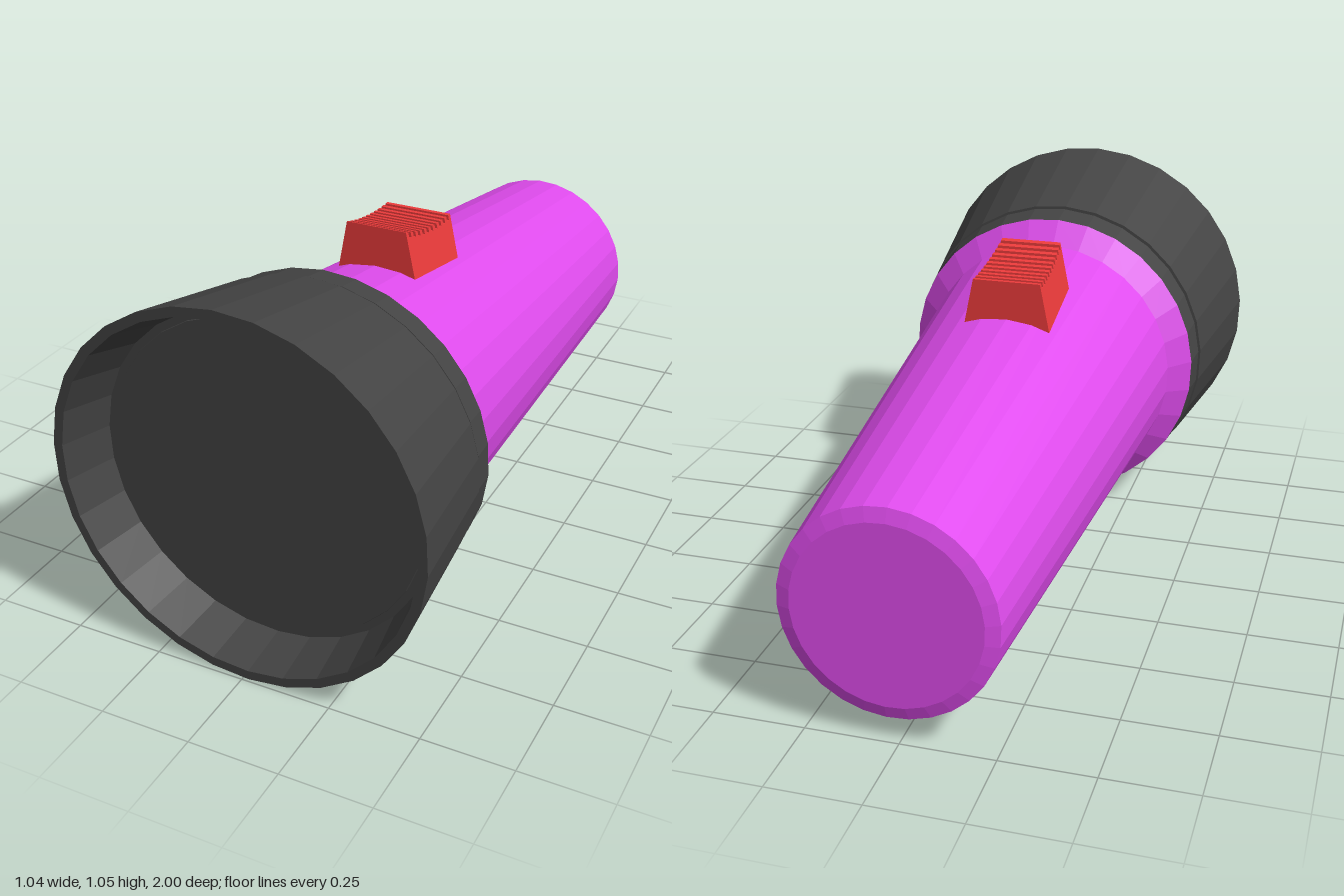
import * as THREE from 'three';

const SIDES = 30;

// The barrel axis drops toward the back while its rings stay upright
const barrelShear = new THREE.Matrix4().set(
  1, 0, -0.015, 0.012,
  0, 1, 0.088, 0.439,
  0.015, 0, 1, 0,
  0, 0, 0, 1
);

function material(color, side = THREE.FrontSide) {
  return new THREE.MeshStandardMaterial({ color, flatShading: true, side });
}

// Turned part: profile of [radius, z], listed from back to front
function turned(name, profile, mat) {
  const geo = new THREE.LatheGeometry(profile.map(([r, z]) => new THREE.Vector2(r, z)), SIDES);
  geo.rotateX(Math.PI / 2);
  geo.rotateZ(THREE.MathUtils.degToRad(2.1));
  geo.applyMatrix4(barrelShear);
  const mesh = new THREE.Mesh(geo, mat);
  mesh.name = name;
  return mesh;
}

// Sliding switch: ridged side outline extruded across, narrowing upward
function switchButton(mat) {
  const front = 0.215, back = -0.05, ridges = 11;
  const pitch = (front - back) / (ridges - 0.5);
  const topAt = z => 0.898 + 0.047 * ((z - back) / (front - back)) ** 2;

  const shape = new THREE.Shape();
  shape.moveTo(back, 0.72);
  shape.lineTo(front, 0.76);
  for (let i = 0; i < ridges; i++) {
    const z0 = front - i * pitch;
    const z1 = z0 - pitch / 2;
    shape.lineTo(z0, topAt(z0));
    shape.lineTo(z1, topAt(z1));
    if (i < ridges - 1) {
      shape.lineTo(z1, topAt(z1) - 0.014);
      shape.lineTo(z0 - pitch, topAt(z0 - pitch) - 0.014);
    }
  }
  shape.closePath();

  const geo = new THREE.ExtrudeGeometry(shape, { depth: 1, bevelEnabled: false });
  geo.translate(0, 0, -0.5);
  geo.rotateY(-Math.PI / 2);
  const pos = geo.attributes.position;
  for (let i = 0; i < pos.count; i++) {
    const half = 0.093 + (0.92 - pos.getY(i)) * 0.2;
    pos.setX(i, Math.sign(pos.getX(i)) * half);
  }
  geo.computeVertexNormals();
  const mesh = new THREE.Mesh(geo, mat);
  mesh.name = 'switchButton';
  return mesh;
}

export function createModel() {
  const group = new THREE.Group();
  group.name = 'flashlight';
  const purple = material(0xe04cee);
  const dark = material(0x444444);

  // Tapered handle with bevelled end and flared collar
  group.add(turned('handle', [
    [0, -0.996], [0.25, -0.996], [0.287, -0.985], [0.388, 0.44], [0.4525, 0.49],
  ], purple));

  // Lamp head: collar ring, groove, flared cup and recessed front
  group.add(turned('lampHead', [
    [0.4525, 0.49], [0.46, 0.567], [0.449, 0.568], [0.449, 0.576], [0.465, 0.577],
    [0.523, 0.992], [0.497, 0.992], [0.465, 0.84], [0.44, 0.84],
  ], dark));

  // Lens disc inside the cup
  group.add(turned('lens', [[0.445, 0.838], [0.443, 0.843], [0, 0.843]], dark));

  group.add(switchButton(material(0xee3c3c)));
  return group;
}
